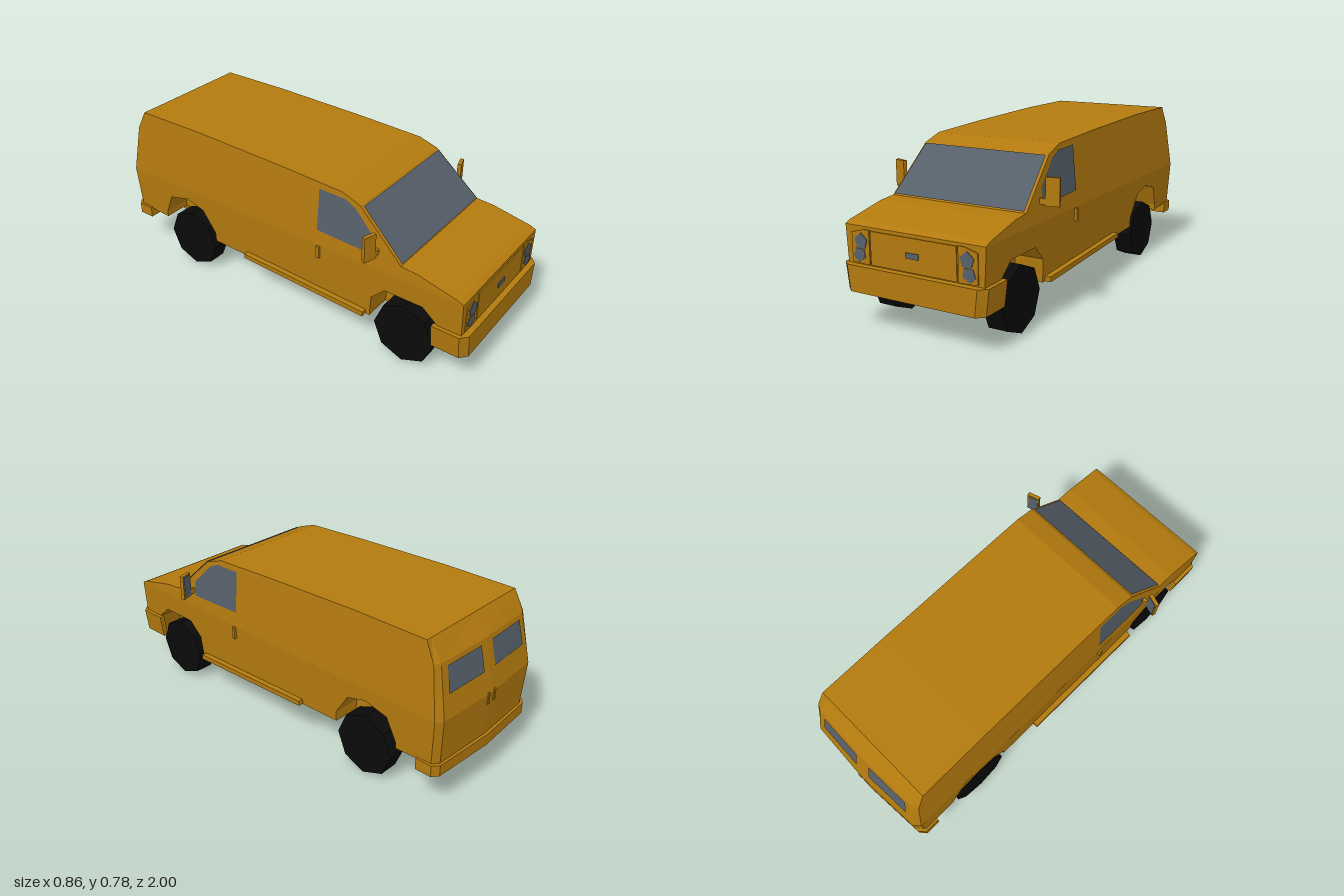
import * as THREE from 'three';

const V = (x, y, z) => new THREE.Vector3(x, y, z);
const mat = (color) => new THREE.MeshStandardMaterial({ color, flatShading: true, side: THREE.DoubleSide });

// Half width of the body at height y
function halfWidth(y) {
  return y < 0.45 ? 0.335 + (y - 0.17) / 0.28 * 0.015 : 0.35 - (y - 0.45) / 0.33 * 0.03;
}

// Surface through rows of points
function grid(rows) {
  const pos = [];
  for (let i = 0; i < rows.length - 1; i++) {
    for (let j = 0; j < rows[i].length - 1; j++) {
      const a = rows[i][j], b = rows[i][j + 1], c = rows[i + 1][j + 1], d = rows[i + 1][j];
      for (const p of [a, d, b, b, d, c]) pos.push(p.x, p.y, p.z);
    }
  }
  const g = new THREE.BufferGeometry();
  g.setAttribute('position', new THREE.Float32BufferAttribute(pos, 3));
  g.computeVertexNormals();
  return g;
}

const shapeOf = (pts) => new THREE.Shape(pts.map(([a, b]) => new THREE.Vector2(a, b)));

// Flat panel from (z, y) points, laid on the body side by the rule x(y)
function sidePanel(pts, side, xOf) {
  const g = new THREE.ShapeGeometry(shapeOf(pts)).toNonIndexed();
  const p = g.attributes.position;
  for (let i = 0; i < p.count; i++) {
    const z = p.getX(i), y = p.getY(i);
    p.setXYZ(i, side * xOf(y), y, z);
  }
  if (side > 0) { // keep the corners turning outward
    for (let i = 0; i < p.count; i += 3) {
      const a = [p.getX(i), p.getY(i), p.getZ(i)];
      p.setXYZ(i, p.getX(i + 1), p.getY(i + 1), p.getZ(i + 1));
      p.setXYZ(i + 1, ...a);
    }
  }
  g.computeVertexNormals();
  return g;
}

// Plate in the xy plane, facing +z
const plate = (pts, depth) => new THREE.ExtrudeGeometry(shapeOf(pts), { depth, bevelEnabled: false });

// Plan outline (x, z) extruded upward from y0 to y1
function planBlock(pts, y0, y1) {
  const g = plate(pts.map(([x, z]) => [x, -z]), y1 - y0);
  return g.rotateX(-Math.PI / 2).translate(0, y0, 0);
}

export function createModel() {
  const model = new THREE.Group();
  const paint = mat(0xb37a0e), glass = mat(0x56606a), rubber = mat(0x0a0a0a);
  const add = (name, geo, m = paint, parent = model) => {
    const mesh = new THREE.Mesh(geo, m);
    mesh.name = name;
    parent.add(mesh);
    return mesh;
  };
  const box = (name, w, h, d, x, y, z, m = paint) =>
    add(name, new THREE.BoxGeometry(w, h, d).translate(x, y, z), m);

  // Profiles as [z, y]
  const topLine = [[0.97, 0.45], [0.943, 0.463], [0.75, 0.505], [0.664, 0.512], [0.44, 0.72],
    [0.343, 0.753], [0, 0.768], [-0.5, 0.782], [-0.87, 0.782]];
  const frontArch = [[0.88, 0.17], [0.86, 0.28], [0.78, 0.35], [0.59, 0.35], [0.52, 0.28], [0.51, 0.17]];
  const rearArch = [[-0.42, 0.2], [-0.42, 0.25], [-0.49, 0.36], [-0.59, 0.39], [-0.71, 0.36],
    [-0.76, 0.25], [-0.76, 0.22]];
  const underLine = [...frontArch, [-0.2, 0.195], ...rearArch, [-0.945, 0.23]];

  // Roof, windscreen slope and bonnet
  const across = ([z, y]) => [V(-halfWidth(y), y, z), V(halfWidth(y), y, z)];
  add('roofAndBonnet', grid(topLine.map(across).reverse()));
  add('nose', grid([[0.97, 0.45], [0.97, 0.28], [0.95, 0.2], [0.88, 0.17]].map(across)));

  // Rear doors, bowed outward with cut corners
  const rearRow = ([z, y, bow]) => {
    const w = halfWidth(y), c = w - 0.03;
    return [V(w, y, z), V(c, y, z - bow * 0.6), V(0, y, z - bow), V(-c, y, z - bow * 0.6), V(-w, y, z)];
  };
  add('rearDoors', grid([[-0.87, 0.782, 0], [-0.915, 0.69, 0.025], [-0.955, 0.45, 0.042],
    [-0.945, 0.23, 0.04]].map(rearRow)));

  // Floor between the wheel wells
  add('floor', grid([[0.97, 0.28], [0.51, 0.28], [0.51, 0.17], [-0.2, 0.195], [-0.42, 0.2],
    [-0.42, 0.25], [-0.945, 0.25]].map(([z, y]) => [V(-0.2, y, z), V(0.2, y, z)])));

  // Windscreen and grille
  add('windscreen', grid([[V(-0.316, 0.718, 0.452), V(0.316, 0.718, 0.452)],
    [V(-0.335, 0.519, 0.665), V(0.335, 0.519, 0.665)]]), glass);
  add('grillePanel', plate([[-0.215, 0.29], [0.215, 0.29], [0.215, 0.435], [-0.215, 0.435]], 0.008)
    .translate(0, 0, 0.967));
  box('grillePlate', 0.064, 0.024, 0.006, 0, 0.361, 0.976, glass);

  // Bumpers
  const frontPlan = [[-0.36, 0.835], [-0.335, 0.835], [-0.335, 0.94], [0.335, 0.94], [0.335, 0.835],
    [0.36, 0.835], [0.36, 0.97], [0.325, 1], [-0.325, 1], [-0.36, 0.97]];
  const frontBumper = planBlock(frontPlan, 0.168, 0.285);
  const bp = frontBumper.attributes.position;
  for (let i = 0; i < bp.count; i++) if (bp.getY(i) < 0.2) bp.setX(i, bp.getX(i) * 0.96);
  add('frontBumper', frontBumper);
  const rearPlan = [[-0.35, -0.875], [-0.35, -0.955], [-0.32, -0.98], [0, -1], [0.32, -0.98],
    [0.35, -0.955], [0.35, -0.875]];
  add('rearBumper', planBlock(rearPlan, 0.18, 0.235));

  // Chassis
  box('frontCrossmember', 0.245, 0.075, 0.3, 0, 0.133, 0.685);
  box('frontAxle', 0.5, 0.04, 0.06, 0, 0.146, 0.69);
  add('rearAxle', new THREE.CylinderGeometry(0.022, 0.022, 0.5, 8).rotateZ(Math.PI / 2)
    .translate(0, 0.15, -0.585));
  add('differential', new THREE.SphereGeometry(0.06, 8, 6).translate(0, 0.15, -0.585));
  add('driveShaft', new THREE.TubeGeometry(new THREE.LineCurve3(V(0, 0.185, 0), V(0, 0.15, -0.58)),
    1, 0.016, 6));

  for (const s of [-1, 1]) {
    const side = s > 0 ? 'left' : 'right';

    // Body side, upper and lower halves, with the wheel wells
    add(side + 'UpperSide', sidePanel([...topLine, [-0.915, 0.69], [-0.955, 0.45]], s, halfWidth));
    add(side + 'LowerSide', sidePanel([[0.97, 0.45], [0.97, 0.28], [0.95, 0.2], ...underLine,
      [-0.955, 0.45]], s, halfWidth));
    add(side + 'Underside', grid(underLine.map(([z, y]) => [V(s * 0.2, y, z), V(s * halfWidth(y), y, z)])));
    for (const arch of [frontArch, rearArch])
      add(side + 'WheelWell', sidePanel(arch, s, () => 0.2));

    // Door window and handle
    add(side + 'DoorWindow', sidePanel([[0.525, 0.515], [0.53, 0.59], [0.42, 0.7], [0.365, 0.727],
      [0.225, 0.73], [0.225, 0.525]], s, (y) => halfWidth(y) + 0.003), glass);
    box(side + 'DoorHandle', 0.014, 0.06, 0.016, s * 0.354, 0.415, 0.235);

    // Running board rising toward the back
    const board = new THREE.BoxGeometry(0.035, 0.024, 0.7).rotateX(0.04);
    add(side + 'RunningBoard', board.translate(s * 0.346, 0.196, 0.14));

    // Wing mirror
    const mirror = new THREE.Group();
    mirror.name = side + 'Mirror';
    mirror.position.set(s * 0.397, 0.583, 0.535);
    mirror.rotation.y = s * 0.3;
    add('mirrorShell', new THREE.BoxGeometry(0.062, 0.124, 0.018), paint, mirror);
    add('mirrorGlass', new THREE.BoxGeometry(0.05, 0.11, 0.003).translate(0, 0, -0.0095), glass, mirror);
    model.add(mirror);
    box(side + 'MirrorArm', 0.045, 0.026, 0.016, s * 0.354, 0.54, 0.543);

    // Headlamps in their surround
    const mirrorX = (pts) => pts.map(([x, y]) => [s * x, y]);
    add(side + 'LampSurround', plate(mirrorX([[0.222, 0.288], [0.314, 0.292], [0.314, 0.42],
      [0.25, 0.438], [0.222, 0.438]]), 0.008).translate(0, 0, 0.967));
    add(side + 'UpperLamp', plate(mirrorX([[0.265, 0.424], [0.298, 0.395], [0.285, 0.357],
      [0.243, 0.357], [0.232, 0.395]]), 0.005).translate(0, 0, 0.973), glass);
    add(side + 'LowerLamp', plate(mirrorX([[0.25, 0.354], [0.293, 0.354], [0.305, 0.317],
      [0.277, 0.295], [0.243, 0.317]]), 0.005).translate(0, 0, 0.973), glass);

    // Rear window and door handle
    const rearZ = (x, y) => {
      const t = (0.69 - y) / 0.24, bow = 0.025 + 0.017 * t;
      return -0.915 - 0.04 * t - bow * (1 - 0.4 * x / (halfWidth(y) - 0.03)) - 0.004;
    };
    const rv = (x, y) => V(s * x, y, rearZ(x, y));
    add(side + 'RearWindow', grid([[rv(0.04, 0.672), rv(0.265, 0.672)],
      [rv(0.04, 0.555), rv(0.275, 0.555)]]), glass);
    box(side + 'RearHandle', 0.012, 0.055, 0.014, s * 0.022, 0.43, -0.992);

    // Leaf spring
    const leaf = [[0, 0.185], [-0.43, 0.155], [-0.585, 0.145], [-0.74, 0.185], [-0.86, 0.235]];
    add(side + 'LeafSpring', grid(leaf.map(([z, y]) => [V(s * 0.17, y + 0.012, z), V(s * 0.2, y + 0.012, z),
      V(s * 0.2, y - 0.008, z), V(s * 0.17, y - 0.008, z), V(s * 0.17, y + 0.012, z)])));

    // Wheels
    for (const [name, z] of [['FrontWheel', 0.688], ['RearWheel', -0.583]])
      add(side + name, new THREE.CylinderGeometry(0.151, 0.151, 0.095, 8).rotateZ(Math.PI / 2)
        .translate(s * 0.288, 0.151, z), rubber);
  }
  return model;
}
